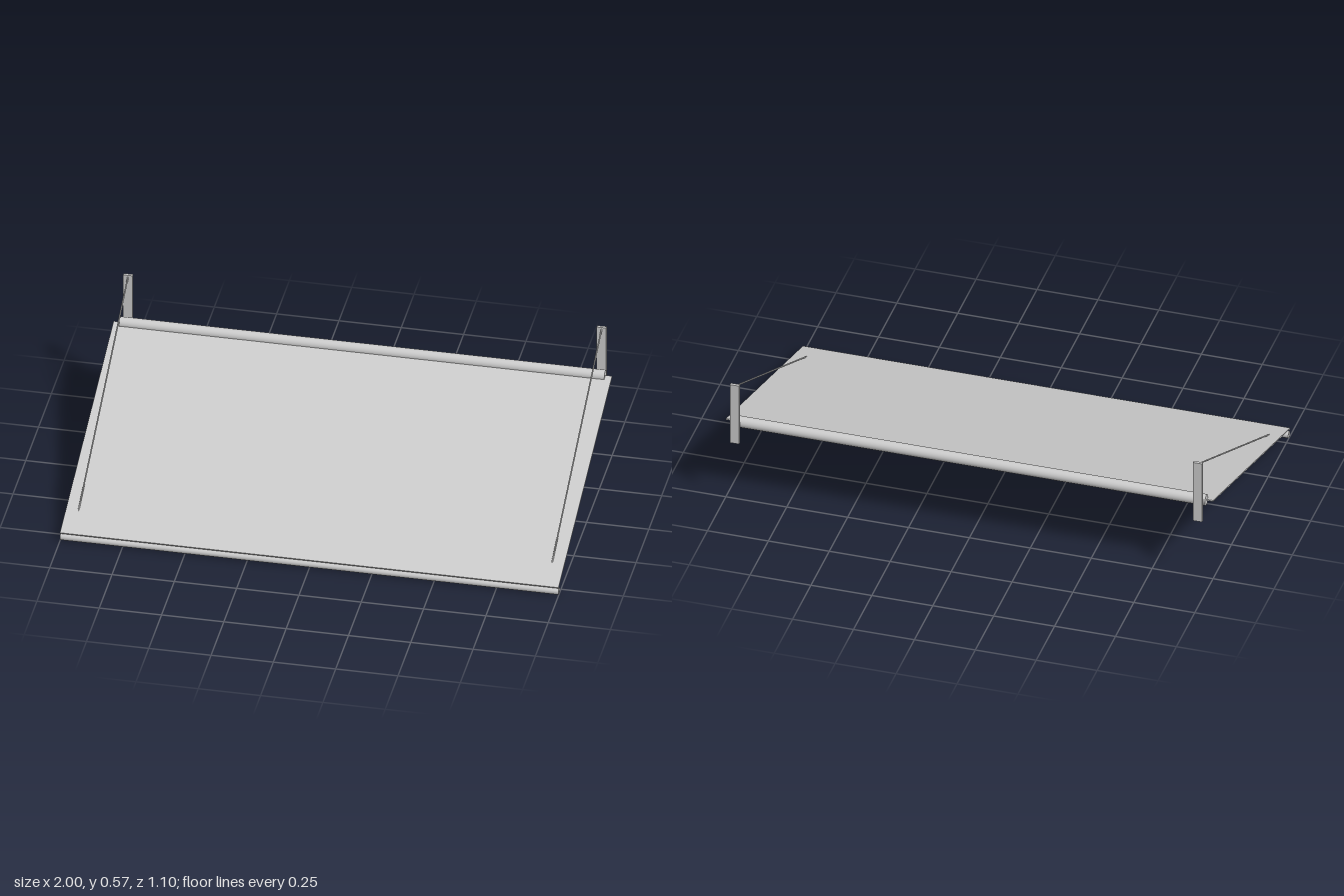
import * as THREE from 'three';

export function createModel() {
  const group = new THREE.Group();
  const grey = new THREE.MeshStandardMaterial({ color: 0xcccccc });
  grey.name = 'light grey';

  function add(name, geometry, x, y, z) {
    const mesh = new THREE.Mesh(geometry, grey);
    mesh.name = name;
    mesh.position.set(x, y, z);
    group.add(mesh);
    return mesh;
  }

  // Round bar between two points
  function bar(name, a, b, radius, sides) {
    const dir = b.clone().sub(a);
    const mid = a.clone().add(b).multiplyScalar(0.5);
    const mesh = add(name, new THREE.CylinderGeometry(radius, radius, dir.length(), sides), mid.x, mid.y, mid.z);
    mesh.quaternion.setFromUnitVectors(new THREE.Vector3(0, 1, 0), dir.normalize());
  }
  const v = (x, y, z) => new THREE.Vector3(x, y, z);

  // Sloping awning sheet, from the roller down to the front
  const back = v(0, 0.368, -0.5), front = v(0, 0.036, 0.549);
  const slope = front.clone().sub(back);
  const sheet = add('awningSheet', new THREE.BoxGeometry(2, 0.005, slope.length()),
    0, (back.y + front.y) / 2, (back.z + front.z) / 2);
  sheet.rotation.x = Math.atan2(-slope.y, slope.z);

  // Roller at the wall and bar along the front edge
  bar('roller', v(-0.973, 0.368, -0.5), v(0.973, 0.368, -0.5), 0.023, 32);
  bar('frontBar', v(-1, 0.0145, 0.537), v(1, 0.0145, 0.537), 0.0145, 32);

  // Wall plates and the stay rods running down to the front bar
  for (const [side, s] of [['left', 1], ['right', -1]]) {
    add(side + 'WallPlate', new THREE.BoxGeometry(0.038, 0.275, 0.012), s * 0.95, 0.43, -0.541);
    bar(side + 'StayRod', v(s * 0.95, 0.56, -0.541), v(s * 0.95, 0.022, 0.535), 0.003, 12);
  }
  return group;
}
